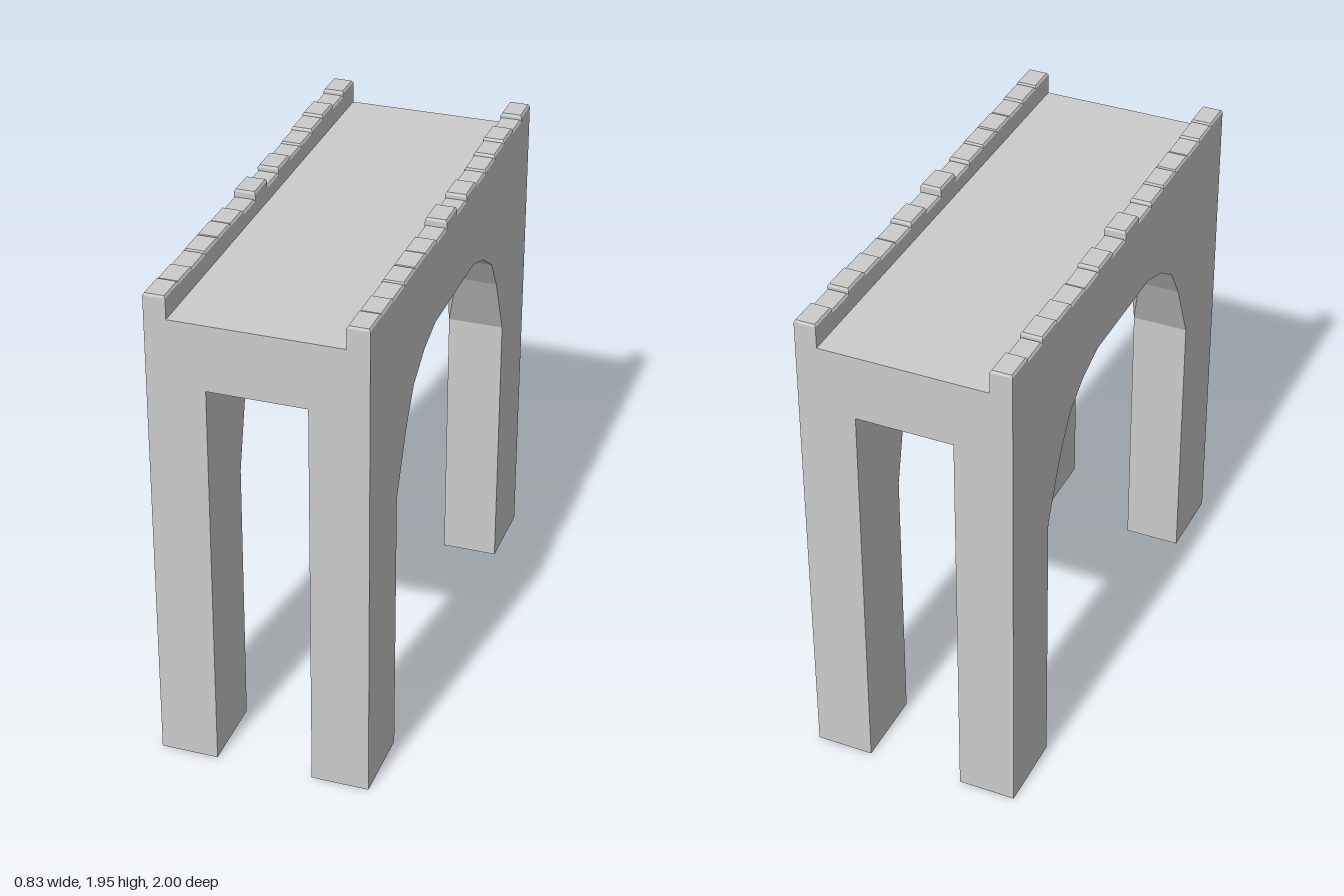
import * as THREE from 'three';

const W = 0.415, IN = 0.19, CEIL = 1.6, DECK = 1.86, SPRING = 0.69;

const material = new THREE.MeshStandardMaterial({ color: 0xcccccc, flatShading: true });

function add(parent, name, geometry, x = 0, y = 0, z = 0) {
  const mesh = new THREE.Mesh(geometry, material);
  mesh.name = name;
  mesh.position.set(x, y, z);
  parent.add(mesh);
  return mesh;
}

// Arch haunch stations: z, underside height, inner lower x (inner face flares outwards)
const STATIONS = [
  [0.69, 1.1, 0.19], [0.58, 1.35, 0.25], [0.5, 1.475, 0.28],
  [0.38, 1.555, 0.31], [0.25, 1.599, 0.34],
];

// One quarter of the two arches, lofted from the pier to the crown
function haunchGeometry(sx, sz) {
  const sections = STATIONS.map(([z, y, x]) => [
    [W, CEIL], [W, y], [x, y], [IN, CEIL],
  ].map(([px, py]) => [px * sx, py, z * sz]));
  const out = [];
  const tri = (a, b, c) => out.push(...(sx * sz > 0 ? [a, b, c] : [a, c, b]).flat());
  for (let i = 0; i < sections.length - 1; i++) {
    for (let j = 0; j < 3; j++) {
      const a = sections[i][j], b = sections[i][j + 1];
      const c = sections[i + 1][j + 1], d = sections[i + 1][j];
      tri(a, b, c);
      tri(a, c, d);
    }
  }
  const g = new THREE.BufferGeometry();
  g.setAttribute('position', new THREE.Float32BufferAttribute(out, 3));
  g.computeVertexNormals();
  return g;
}

// Block standing on y = 0 with a small chamfer round its top
function stoneGeometry(w, h, d, bevel = 0.009) {
  const g = new THREE.BoxGeometry(w, h, d, 1, 2, 1);
  g.translate(0, h / 2, 0);
  const p = g.attributes.position;
  for (let i = 0; i < p.count; i++) {
    const y = p.getY(i);
    if (y > h * 0.75) {
      p.setX(i, p.getX(i) - Math.sign(p.getX(i)) * bevel * 0.6);
      p.setZ(i, p.getZ(i) - Math.sign(p.getZ(i)) * bevel * 0.6);
    } else if (y > h * 0.25) p.setY(i, h - bevel);
  }
  g.computeVertexNormals();
  return g;
}

export function createModel() {
  const bridge = new THREE.Group();
  bridge.name = 'archedBridge';

  // Road deck over the full length
  add(bridge, 'deck', new THREE.BoxGeometry(2 * W, DECK - CEIL, 2), 0, (DECK + CEIL) / 2, 0);

  // Four piers and the arch haunches springing from them
  for (const sx of [1, -1]) {
    for (const sz of [1, -1]) {
      add(bridge, 'pier', new THREE.BoxGeometry(W - IN, CEIL, 1 - SPRING),
        sx * (W + IN) / 2, CEIL / 2, sz * (1 + SPRING) / 2);
      add(bridge, 'archHaunch', haunchGeometry(sx, sz));
    }
  }

  // Parapets of uneven stones, listed from front to back
  const tops = [1.95, 1.946, 1.94, 1.943, 1.942, 1.938, 1.926, 1.954,
    1.924, 1.944, 1.93, 1.935, 1.945, 1.954, 1.938, 1.954];
  const step = 2 / tops.length, inner = 0.33;
  for (const sx of [1, -1]) {
    const parapet = new THREE.Group();
    parapet.name = sx > 0 ? 'leftParapet' : 'rightParapet';
    tops.forEach((top, i) => add(parapet, 'parapetStone',
      stoneGeometry(W - inner, top - DECK, step),
      sx * (W + inner) / 2, DECK, 1 - (i + 0.5) * step));
    bridge.add(parapet);
  }
  return bridge;
}
